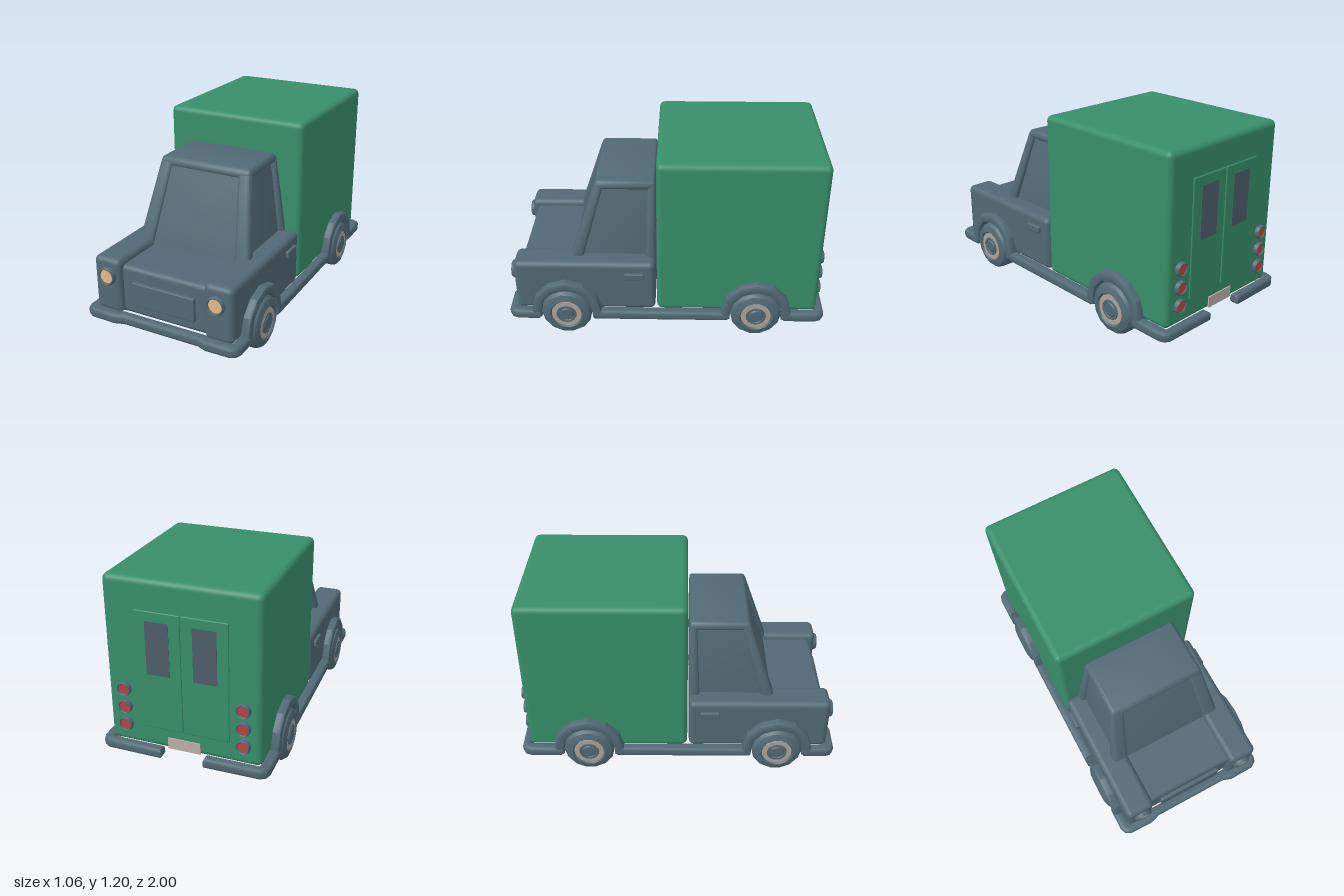
import * as THREE from 'three';
import { toCreasedNormals } from 'three/addons/utils/BufferGeometryUtils.js';
import { RoundedBoxGeometry } from 'three/addons/geometries/RoundedBoxGeometry.js';

const paint = (name, color) => {
  const m = new THREE.MeshStandardMaterial({ color });
  m.name = name;
  return m;
};

export function createModel() {
  const slate = paint('slate blue', 0x526975);
  const green = paint('green', 0x388e6b);
  const peach = paint('lamp peach', 0xeebc88);
  const grey = paint('rim grey', 0xaaa59c);
  const red = paint('tail red', 0xb84242);
  const glass = paint('dark glass', 0x4f5e69);
  const plateColor = paint('plate', 0xbcaea8);

  const model = new THREE.Group();
  model.name = 'deliveryTruck';
  const add = (name, geo, mat, parent = model) => {
    const mesh = new THREE.Mesh(geo, mat);
    mesh.name = name;
    parent.add(mesh);
  };

  // Rounded box given by its limits
  const block = (x0, x1, y0, y1, z0, z1, r) =>
    new RoundedBoxGeometry(x1 - x0, y1 - y0, z1 - z0, 3, r)
      .translate((x0 + x1) / 2, (y0 + y1) / 2, (z0 + z1) / 2);

  // Cargo box and lower cab
  add('cargoBox', block(-0.465, 0.465, 0.16, 1.2, -0.95, 0.06, 0.035), green);
  add('cabBody', block(-0.46, 0.46, 0.16, 0.47, 0.07, 0.915, 0.03), slate);
  add('fenderLeft', block(0.28, 0.465, 0.16, 0.51, 0.07, 0.95, 0.035), slate);
  add('fenderRight', block(-0.465, -0.28, 0.16, 0.51, 0.07, 0.95, 0.035), slate);

  // Cabin: straight blocks tapered towards the roof
  const taper = (geo) => {
    const p = geo.attributes.position;
    for (let i = 0; i < p.count; i++) {
      const t = (p.getY(i) - 0.5) / 0.5;
      p.setX(i, p.getX(i) * (1 - 0.21 * t));
      p.setZ(i, 0.07 + (p.getZ(i) - 0.07) * (1 - 0.32 * t));
    }
    geo.computeVertexNormals();
    return toCreasedNormals(geo, 0.7);
  };
  const cabin = new THREE.Group();
  cabin.name = 'cabin';
  model.add(cabin);
  add('cabinCore', taper(block(-0.35, 0.35, 0.44, 0.97, 0.08, 0.58, 0.02)), slate, cabin);
  add('roof', taper(block(-0.38, 0.38, 0.945, 1.0, 0.07, 0.6, 0.027)), slate, cabin);
  for (const s of [-1, 1]) {
    // Pillar reaching from the outer side inward to the given x
    const pillar = (name, x, z0, z1) => add(name, taper(
      block(Math.min(s * x, s * 0.38), Math.max(s * x, s * 0.38), 0.43, 0.985, z0, z1, 0.024)), slate, cabin);
    pillar('frontPillar', 0.28, 0.52, 0.6);
    pillar('rearPillar', 0.325, 0.07, 0.135);
  }

  // Bumpers and sills, drawn in plan and extruded upward with a rounded edge
  const bar = (name, pts) => {
    const shape = new THREE.Shape(pts.map(([x, z]) => new THREE.Vector2(x, z)));
    const geo = new THREE.ExtrudeGeometry(shape, {
      depth: 0.025, bevelEnabled: true, bevelThickness: 0.02, bevelSize: 0.02,
      bevelOffset: -0.02, bevelSegments: 3,
    }).rotateX(Math.PI / 2).translate(0, 0.155, 0);
    add(name, toCreasedNormals(geo, 0.8), slate);
  };
  const outer = [[0.517, 0.8], [0.517, 0.94], [0.505, 0.975], [0.47, 0.997], [0.31, 1], [0.25, 0.98]];
  const inner = [[0.45, 0.92], [0.45, 0.8]];
  const flip = (list) => list.map(([x, z]) => [-x, z]).reverse();
  bar('frontBumper', [...outer, ...flip(outer), ...flip(inner), ...inner]);
  for (const s of [-1, 1]) {
    bar('sideSill', [[0.45, 0.46], [0.515, 0.46], [0.515, -0.39], [0.45, -0.39]].map(([x, z]) => [s * x, z]));
    bar('rearBumper', [[0.45, -0.74], [0.517, -0.74], [0.517, -0.94], [0.505, -0.975], [0.47, -0.997],
      [0.13, -1], [0.13, -0.94], [0.45, -0.94]].map(([x, z]) => [s * x, z]));
    for (const [z0, z1] of [[0.8, 0.92], [-0.39, 0.46], [-0.94, -0.74]]) {
      add('sillLining', new THREE.BoxGeometry(0.006, 0.03, z1 - z0)
        .translate(s * 0.449, 0.14, (z0 + z1) / 2), peach);
    }
  }
  add('bumperLining', new THREE.BoxGeometry(0.9, 0.03, 0.006).translate(0, 0.14, 0.919), peach);

  // Wheels and faceted arches
  const lathe = (pts, seg) => toCreasedNormals(
    new THREE.LatheGeometry(pts.map(([r, h]) => new THREE.Vector2(r, h)), seg).rotateZ(-Math.PI / 2), 0.6);
  const tyre = lathe([[0.001, 0.395], [0.15, 0.395], [0.16, 0.405], [0.16, 0.495], [0.145, 0.515],
    [0.105, 0.528], [0.095, 0.516], [0.001, 0.516]], 14);
  const rim = lathe([[0.096, 0.514], [0.094, 0.52], [0.06, 0.52]], 20);
  const hub = lathe([[0.066, 0.514], [0.062, 0.526], [0.05, 0.526], [0.046, 0.521], [0.04, 0.528], [0.001, 0.528]], 16);
  const arc = (r) => Array.from({ length: 7 }, (_, i) =>
    new THREE.Vector2(r * Math.cos(i * Math.PI / 6), 0.01 + r * Math.sin(i * Math.PI / 6)));
  const archShape = new THREE.Shape([new THREE.Vector2(0.215, -0.04), ...arc(0.222), new THREE.Vector2(-0.215, -0.04),
    new THREE.Vector2(-0.162, -0.04), ...arc(0.162).reverse(), new THREE.Vector2(0.162, -0.04)]);
  const arch = toCreasedNormals(new THREE.ExtrudeGeometry(archShape, {
    depth: 0.05, bevelEnabled: true, bevelThickness: 0.018, bevelSize: 0.016, bevelOffset: -0.016, bevelSegments: 2,
  }).rotateY(Math.PI / 2).translate(0.447, 0, 0), 0.5);
  for (const [end, z] of [['front', 0.63], ['rear', -0.565]]) {
    for (const s of [-1, 1]) {
      const wheel = new THREE.Group();
      wheel.name = end + 'Wheel';
      wheel.position.set(0, 0.16, z);
      wheel.rotation.y = s > 0 ? 0 : Math.PI;
      add('tyre', tyre, slate, wheel);
      add('rim', rim, grey, wheel);
      add('hub', hub, slate, wheel);
      add('wheelArch', arch, slate, wheel);
      model.add(wheel);
    }
  }

  // Round lamps: bezel with a coloured lens, facing +z or -z
  const lamp = (name, x, y, z, r, mat, dir) => {
    const g = new THREE.Group();
    g.name = name;
    g.position.set(x, y, z);
    g.rotation.x = dir * Math.PI / 2;
    const profile = [[r, -0.02], [r, 0.015], [r * 0.88, 0.025], [r * 0.78, 0.022], [r * 0.76, 0.005]];
    add('bezel', toCreasedNormals(new THREE.LatheGeometry(
      profile.map(([a, b]) => new THREE.Vector2(a, b)), 18), 0.7), slate, g);
    add('lens', new THREE.CylinderGeometry(r * 0.74, r * 0.78, 0.02, 18).translate(0, 0.008, 0), mat, g);
    model.add(g);
  };
  for (const s of [-1, 1]) {
    lamp('headlight', s * 0.365, 0.4, 0.95, 0.057, peach, 1);
    for (const y of [0.285, 0.4, 0.515]) lamp('tailLight', s * 0.36, y, -0.95, 0.043, red, -1);
    add('doorHandle', block(s * 0.47 - 0.014, s * 0.47 + 0.014, 0.4, 0.445, 0.14, 0.26, 0.008), slate);
    // Rear door leaves with windows
    add('rearDoor', block(s * 0.14 - 0.137, s * 0.14 + 0.137, 0.29, 1.02, -0.957, -0.94, 0.006), green);
    add('rearWindow', new THREE.BoxGeometry(0.14, 0.325, 0.006).translate(s * 0.14, 0.8, -0.957), glass);
  }

  // Raised grille panel and rear plate
  add('grille', block(-0.21, 0.21, 0.235, 0.385, 0.9, 0.938, 0.008), slate);
  add('rearPlate', new THREE.BoxGeometry(0.2, 0.07, 0.009).translate(0, 0.205, -0.953), plateColor);
  return model;
}
